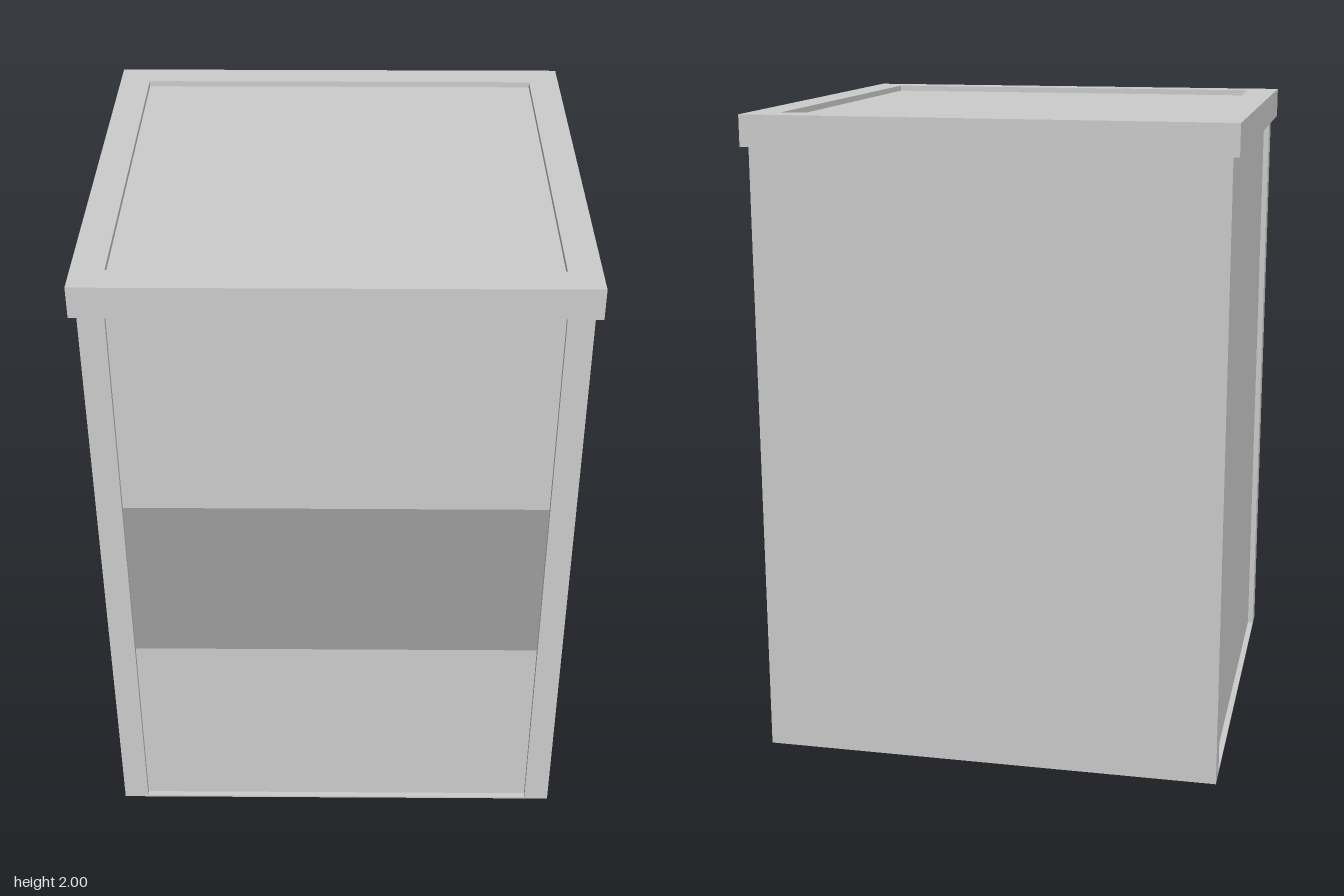
import * as THREE from 'three';

const HALF = 0.713;      // half width of the body
const INNER = 0.636;     // half width of the recessed panels
const LID = 0.733;       // half width of the lid
const BASE_TOP = 0.006, BODY_TOP = 1.905, TOP = 2;
const RECESS = 0.018;
const POST = HALF - INNER;

const grey = new THREE.MeshStandardMaterial({ color: 0xcccccc });
const darkGrey = new THREE.MeshStandardMaterial({ color: 0x9c9c9c });

// Box given by its minimum and maximum corners
function box(name, min, max, material = grey) {
  const size = max.map((v, i) => v - min[i]);
  const mesh = new THREE.Mesh(new THREE.BoxGeometry(...size), material);
  mesh.position.set(...max.map((v, i) => (v + min[i]) / 2));
  mesh.name = name;
  return mesh;
}

function square(path, h) {
  path.moveTo(-h, -h);
  path.lineTo(h, -h);
  path.lineTo(h, h);
  path.lineTo(-h, h);
  path.closePath();
  return path;
}

export function createModel() {
  const model = new THREE.Group();
  model.name = 'cabinet';

  // Thin floor plate and flush back wall
  model.add(box('basePlate', [-HALF, 0, -HALF], [HALF, BASE_TOP, HALF]));
  model.add(box('backPanel', [-HALF, BASE_TOP, -HALF], [HALF, BODY_TOP, -INNER]));

  // Front corner posts and recessed side panels, mirrored
  for (const [side, s] of [['left', 1], ['right', -1]]) {
    const x = s * (HALF - POST / 2);
    model.add(box(side + 'FrontPost',
      [x - POST / 2, BASE_TOP, INNER], [x + POST / 2, BODY_TOP, HALF]));
    const thick = POST - RECESS;
    const px = s * (INNER + thick / 2);
    model.add(box(side + 'SidePanel',
      [px - thick / 2, BASE_TOP, -INNER], [px + thick / 2, BODY_TOP, INNER]));
  }

  // Recessed front panel in three strips, the middle one darker
  const strips = [
    ['frontPanelLower', BASE_TOP, 0.657, grey],
    ['frontBand', 0.657, 1.22, darkGrey],
    ['frontPanelUpper', 1.22, BODY_TOP, grey],
  ];
  for (const [name, y0, y1, material] of strips) {
    model.add(box(name, [-INNER, y0, INNER], [INNER, y1, HALF - RECESS], material));
  }

  // Overhanging lid frame with a sunken top panel
  const frame = square(new THREE.Shape(), LID);
  frame.holes.push(square(new THREE.Path(), INNER));
  const lidGeometry = new THREE.ExtrudeGeometry(frame, { depth: TOP - BODY_TOP, bevelEnabled: false });
  lidGeometry.rotateX(-Math.PI / 2);
  const lidFrame = new THREE.Mesh(lidGeometry, grey);
  lidFrame.position.y = BODY_TOP;
  lidFrame.name = 'lidFrame';
  model.add(lidFrame);
  model.add(box('lidPanel', [-INNER, BODY_TOP, -INNER], [INNER, TOP - RECESS, INNER]));

  return model;
}
